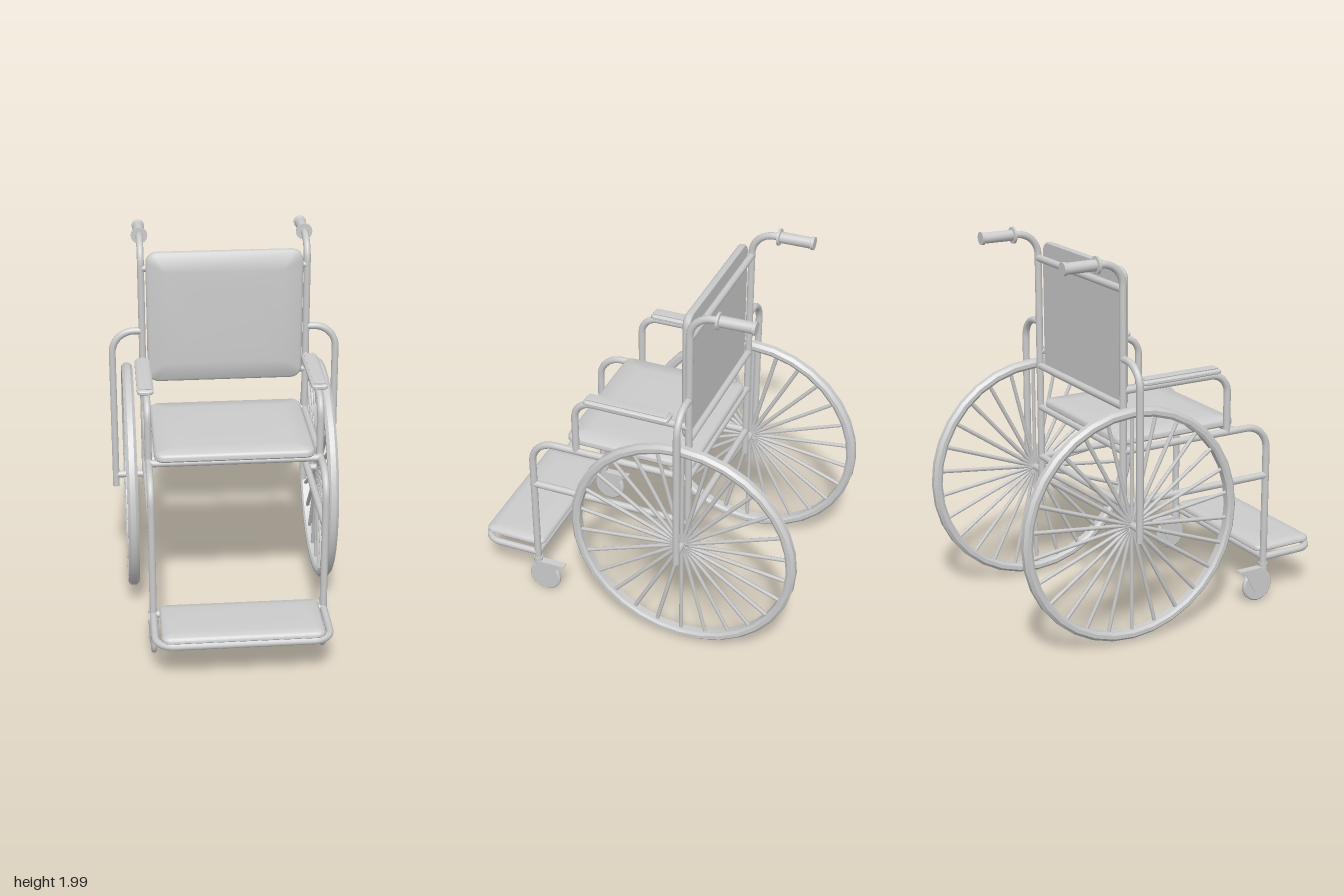
import * as THREE from 'three';
import { mergeGeometries, toCreasedNormals } from 'three/addons/utils/BufferGeometryUtils.js';

const V = (x, y, z) => new THREE.Vector3(x, y, z);
const grey = new THREE.MeshStandardMaterial({ color: 0xcccccc });
const TUBE = 0.019, FRAME_X = 0.44, REAR_Z = -0.3, FRONT_Z = 0.575;
const AXLE_Y = 0.632, WHEEL_X = 0.524;

function mesh(name, geometry, parent) {
  const m = new THREE.Mesh(geometry, grey);
  m.name = name;
  parent.add(m);
  return m;
}

// Capped tube through corner points, each inner corner rounded by the bend radius
function pipe(points, bend = 0.12, radius = TUBE) {
  const path = new THREE.CurvePath();
  let from = points[0];
  for (let i = 1; i < points.length - 1; i++) {
    const p = points[i];
    const u = points[i - 1].clone().sub(p).normalize();
    const w = points[i + 1].clone().sub(p).normalize();
    const a = p.clone().addScaledVector(u, bend), b = p.clone().addScaledVector(w, bend);
    const k = bend * 0.448;
    path.add(new THREE.LineCurve3(from, a));
    path.add(new THREE.CubicBezierCurve3(a, p.clone().addScaledVector(u, k), p.clone().addScaledVector(w, k), b));
    from = b;
  }
  const last = points[points.length - 1];
  path.add(new THREE.LineCurve3(from, last));
  const steps = points.length > 2 ? 72 : 1;
  const parts = [new THREE.TubeGeometry(path, steps, radius, 10)];
  for (const [end, next] of [[points[0], points[1]], [last, points[points.length - 2]]]) {
    const cap = new THREE.CircleGeometry(radius, 10);
    const dir = end.clone().sub(next).normalize();
    cap.applyQuaternion(new THREE.Quaternion().setFromUnitVectors(V(0, 0, 1), dir));
    parts.push(cap.translate(end.x, end.y, end.z));
  }
  return mergeGeometries(parts);
}

// Upholstered pad: rounded-rectangle loops stacked along z with a slightly domed top
function pad(w, h, t, r) {
  const half = Math.min(w, h) / 2, corner = 5;
  const profile = [[half, 0], [0.006, 0], [0, t * 0.15], [0, t * 0.5], [0.004, t * 0.65],
    [0.014, t * 0.8], [half * 0.3, t * 0.95], [half * 0.6, t], [half, t]];
  const rings = profile.map(([inset, z]) => {
    const rr = Math.max(0, r - inset), ring = [];
    for (let q = 0; q < 4; q++) {
      const sx = q === 0 || q === 3 ? 1 : -1, sy = q < 2 ? 1 : -1;
      for (let k = 0; k <= corner; k++) {
        const a = (q + k / corner) * Math.PI / 2;
        ring.push([sx * (w / 2 - inset - rr) + rr * Math.cos(a), sy * (h / 2 - inset - rr) + rr * Math.sin(a), z]);
      }
    }
    return ring;
  });
  const pos = [], n = rings[0].length;
  for (let j = 0; j < rings.length - 1; j++) {
    for (let k = 0; k < n; k++) {
      const a = rings[j][k], b = rings[j][(k + 1) % n];
      const c = rings[j + 1][(k + 1) % n], d = rings[j + 1][k];
      pos.push(...a, ...b, ...c, ...a, ...c, ...d);
    }
  }
  const g = new THREE.BufferGeometry();
  g.setAttribute('position', new THREE.Float32BufferAttribute(pos, 3));
  return toCreasedNormals(g, 0.6);
}
const flatPad = (...args) => pad(...args).rotateX(-Math.PI / 2);

const lathe = (pts, sides) =>
  toCreasedNormals(new THREE.LatheGeometry(pts.map(([r, y]) => new THREE.Vector2(r, y)), sides), 0.6);

// Large spoked wheel, axle along x
function rearWheel() {
  const g = new THREE.Group();
  g.name = 'rearWheel';
  const section = [[0.567, -0.02], [0.58, -0.029], [0.6, -0.029], [0.615, -0.014], [0.615, 0.014],
    [0.6, 0.029], [0.58, 0.029], [0.567, 0.02], [0.567, -0.02]];
  mesh('tyre', lathe(section, 32).rotateZ(Math.PI / 2), g);
  const spokes = [];
  for (let i = 0; i < 26; i++) {
    spokes.push(new THREE.CylinderGeometry(0.011, 0.011, 0.575, 6, 1, true)
      .translate(0, 0.2875, 0).rotateX(i * Math.PI * 2 / 26));
  }
  mesh('spokes', mergeGeometries(spokes), g);
  return g;
}

// Small front wheel in a tapered fork, origin at the wheel centre
function caster() {
  const g = new THREE.Group();
  g.name = 'caster';
  const tyre = [[0, -0.014], [0.082, -0.014], [0.09, -0.007], [0.09, 0.007], [0.082, 0.014], [0, 0.014]];
  mesh('casterWheel', lathe(tyre, 24).rotateZ(Math.PI / 2), g);
  const side = new THREE.Shape([[0.05, 0.097], [-0.12, 0.097], [-0.105, 0.09], [-0.085, 0.08], [-0.025, -0.03],
    [0.025, -0.03], [0.05, 0.025]].map(([z, y]) => new THREE.Vector2(-z, y)));
  for (const s of [-1, 1]) {
    const plate = new THREE.ExtrudeGeometry(side, { depth: 0.004, bevelEnabled: false });
    mesh('forkSide', plate.rotateY(Math.PI / 2).translate(s * 0.018 - 0.002, 0, 0), g);
  }
  mesh('forkTop', new THREE.BoxGeometry(0.04, 0.005, 0.17).translate(0, 0.097, -0.035), g);
  mesh('stem', new THREE.CylinderGeometry(0.025, 0.025, 0.03, 12).translate(0, 0.105, 0.04), g);
  return g;
}

// Push handle grip with a flange, running backwards along -z
function grip() {
  const profile = [[0, 0], [0.044, 0], [0.044, 0.012], [0.029, 0.014], [0.029, 0.175],
    [0.034, 0.177], [0.034, 0.192], [0, 0.192]];
  return lathe(profile, 16).rotateX(-Math.PI / 2);
}

export function createModel() {
  const root = new THREE.Group();
  root.name = 'wheelchair';

  // Parts repeated on both sides
  for (const s of [-1, 1]) {
    const x = s * FRAME_X;
    const side = new THREE.Group();
    side.name = s > 0 ? 'leftSide' : 'rightSide';
    root.add(side);

    mesh('backUpright', pipe([V(x, 0.565, REAR_Z), V(x, 1.955, REAR_Z), V(x, 1.955, -0.6)], 0.12), side);
    mesh('handleGrip', grip(), side).position.set(x, 1.955, -0.44);
    mesh('frontLeg', pipe([V(x, 0.995, REAR_Z), V(x, 0.995, FRONT_Z), V(x, 0.17, FRONT_Z)], 0.13), side);
    mesh('lowerRail', pipe([V(x, 0.715, REAR_Z), V(x, 0.715, FRONT_Z)]), side);
    mesh('armrestFrame', pipe([V(x, 1.31, REAR_Z), V(x, 1.31, 0.32), V(x, 0.995, 0.32)], 0.1), side);
    mesh('armrestPad', flatPad(0.085, 0.46, 0.032, 0.02), side).position.set(s * 0.445, 1.328, 0.025);
    mesh('wheelBracket', pipe([V(x, 1.473, REAR_Z), V(s * 0.602, 1.473, REAR_Z), V(s * 0.602, 0.565, REAR_Z)], 0.12), side);
    mesh('axle', pipe([V(x, AXLE_Y, REAR_Z), V(s * 0.602, AXLE_Y, REAR_Z)]), side);

    const wheel = rearWheel();
    wheel.position.set(s * WHEEL_X, AXLE_Y, REAR_Z);
    side.add(wheel);
    const front = caster();
    front.position.set(x, 0.095, 0.535);
    side.add(front);
  }

  // Cross bars between the two side frames
  const bars = { backTopBar: [1.82, REAR_Z], backBottomBar: [1.23, REAR_Z], seatRearBar: [0.998, REAR_Z],
    seatFrontBar: [0.998, 0.36], lowerRearBar: [0.715, REAR_Z], footrestRearBar: [0.245, FRONT_Z] };
  for (const [name, [y, z]] of Object.entries(bars)) {
    mesh(name, pipe([V(-FRAME_X, y, z), V(FRAME_X, y, z)]), root);
  }

  // Upholstery
  mesh('seat', flatPad(0.82, 0.7, 0.052, 0.05), root).position.set(0, 1.013, 0.045);
  mesh('backrest', pad(0.83, 0.72, 0.05, 0.06), root).position.set(0, 1.555, -0.288);

  // Footrest
  mesh('footrestFrame', pipe([V(-FRAME_X, 0.245, FRONT_Z), V(-FRAME_X, 0.245, 0.9),
    V(FRAME_X, 0.245, 0.9), V(FRAME_X, 0.245, FRONT_Z)], 0.09), root);
  mesh('footrestPad', flatPad(0.82, 0.35, 0.042, 0.04), root).position.set(0, 0.26, 0.735);

  return root;
}
